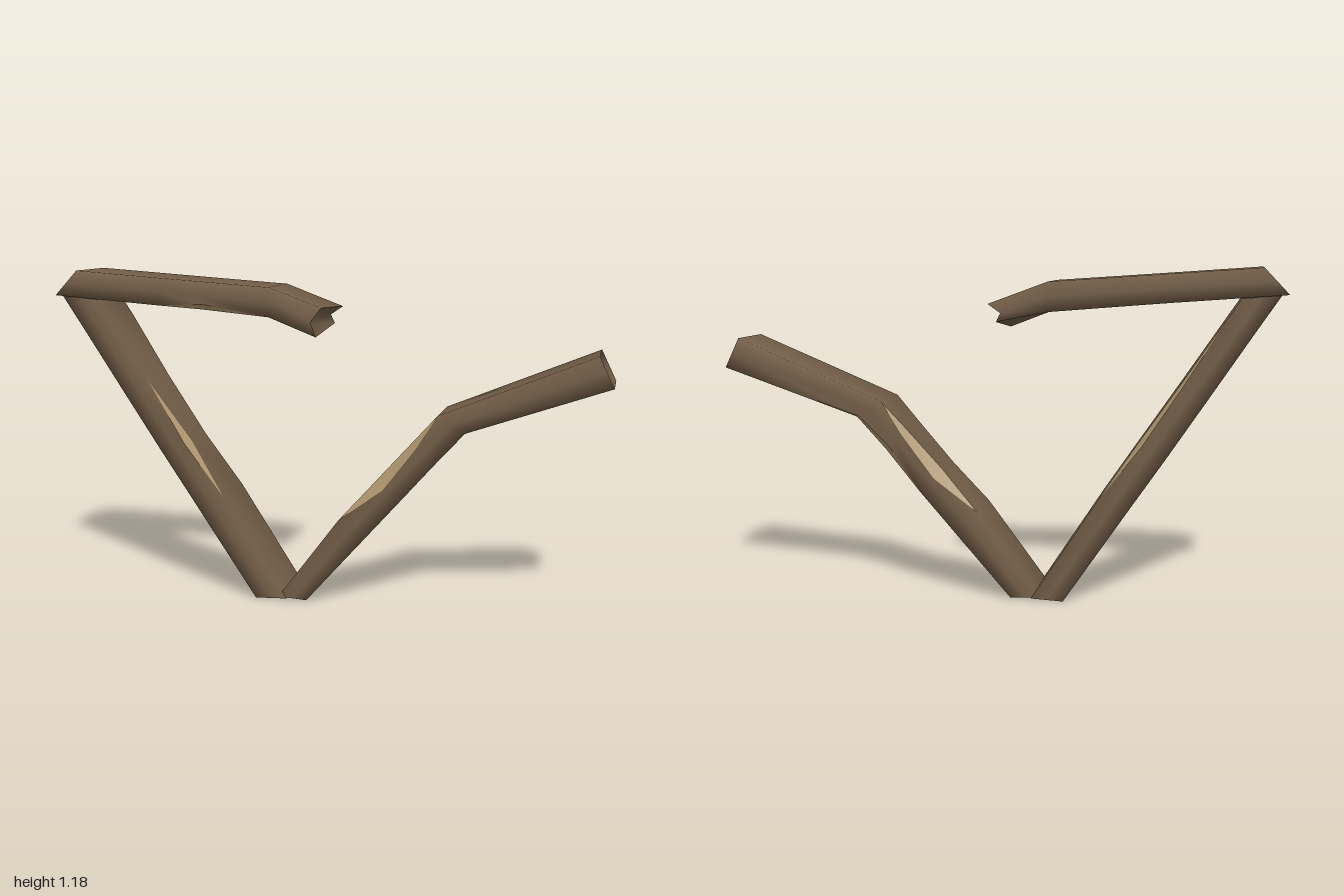
import * as THREE from 'three';
import { mergeVertices } from 'three/addons/utils/BufferGeometryUtils.js';

const bark = new THREE.MeshStandardMaterial({ color: 0x725d47, side: THREE.DoubleSide });
bark.name = 'bark';
const bareWood = new THREE.MeshStandardMaterial({ color: 0xb0976f, side: THREE.DoubleSide });
bareWood.name = 'bareWood';

const lerp = (a, b, t) => a + (b - a) * t;

// Cross-section of a beam: u and l are its upper and lower edges in x,y and z its half width.
// chips = { uf, lf, lb, ub }: corner cuts as [share of the thickness, depth in z].
// uBack and lBack shift the back corners, notch pulls the side middles along x.
function section({ u, l, z, chips = {}, uBack = [0, 0], lBack = [0, 0], notch = 0 }) {
  const ub = [u[0] + uBack[0], u[1] + uBack[1]];
  const lb = [l[0] + lBack[0], l[1] + lBack[1]];
  const at = (a, b, t, zz, dx = 0) => [lerp(a[0], b[0], t) + dx, lerp(a[1], b[1], t), zz];
  const cut = (k) => chips[k] || [0, 0];
  const [uf, lf, lbk, ubk] = ['uf', 'lf', 'lb', 'ub'].map(cut);
  return [
    at(u, l, 0, z - uf[1]), at(u, l, uf[0], z),
    at(u, l, 0.5, z, notch),
    at(l, u, lf[0], z), at(l, u, 0, z - lf[1]),
    at(lb, lb, 0, -z + lbk[1]), at(lb, ub, lbk[0], -z),
    at(ub, lb, 0.5, -z, notch),
    at(ub, lb, ubk[0], -z), at(ub, lb, 0, -z + ubk[1]),
  ];
}

function toMesh(points, material, name) {
  let geometry = new THREE.BufferGeometry();
  geometry.setAttribute('position', new THREE.Float32BufferAttribute(points.flat(), 3));
  geometry = mergeVertices(geometry, 1e-4);
  geometry.computeVertexNormals();
  const mesh = new THREE.Mesh(geometry, material);
  mesh.name = name;
  return mesh;
}

// Hollow beam skinned over its sections; chipped corners become bare wood
function beam(name, stations, capEnd = false) {
  const rings = stations.map(section);
  const n = rings[0].length;
  const cornerOf = { 0: 'uf', 3: 'lf', 5: 'lb', 8: 'ub' };
  const skin = [], chips = [], cap = [];
  const quad = (out, a, b, c, d) => out.push(a, b, c, a, c, d);
  for (let i = 0; i < rings.length - 1; i++) {
    for (let j = 0; j < n; j++) {
      const k = (j + 1) % n, corner = cornerOf[j];
      const chipped = corner && [stations[i], stations[i + 1]].some((s) => s.chips && s.chips[corner]);
      if (corner && !chipped) continue;
      quad(chipped ? chips : skin, rings[i][j], rings[i][k], rings[i + 1][k], rings[i + 1][j]);
    }
  }
  const group = new THREE.Group();
  group.name = name;
  group.add(toMesh(skin, bark, name + 'Bark'));
  if (chips.length) group.add(toMesh(chips, bareWood, name + 'Chips'));
  if (capEnd) {
    // Splintered end: strips from the front side to the back side
    const r = rings[rings.length - 1];
    quad(cap, r[1], r[2], r[7], r[8]);
    quad(cap, r[2], r[3], r[6], r[7]);
    group.add(toMesh(cap, bark, name + 'BrokenEnd'));
  }
  return group;
}

export function createModel() {
  const model = new THREE.Group();
  model.name = 'brokenBeams';

  // Top beam, bent down to a broken tip
  model.add(beam('topBeam', [
    { u: [-0.915, 1.18], l: [-1, 1.09], z: 0.118 },
    { u: [-0.6, 1.158], l: [-0.6, 1.06], z: 0.118 },
    { u: [-0.44, 1.147], l: [-0.44, 1.047], z: 0.118, chips: { lf: [0.2, 0.02] } },
    { u: [-0.19, 1.13], l: [-0.19, 1.026], z: 0.118 },
    { u: [0.0, 1.062], l: [-0.02, 0.96], z: 0.118, uBack: [0.02, -0.01], lBack: [0.01, 0.03], notch: -0.03 },
  ], true));

  // Straight leg running from the foot to the left end of the top beam
  model.add(beam('straightLeg', [
    { u: [-0.135, 0.005], l: [-0.25, 0], z: 0.11 },
    { u: [-0.37, 0.37], l: [-0.485, 0.35], z: 0.11 },
    { u: [-0.5, 0.565], l: [-0.61, 0.535], z: 0.11, chips: { uf: [0.15, 0.035], ub: [0.15, 0.035] } },
    { u: [-0.65, 0.785], l: [-0.75, 0.747], z: 0.11, chips: { ub: [0.1, 0.025] } },
    { u: [-0.8, 1.01], l: [-0.89, 0.96], z: 0.11 },
    { u: [-0.845, 1.077], l: [-0.975, 1.088], z: 0.11 },
  ]));

  // Bent leg with an elbow and an open end
  model.add(beam('bentLeg', [
    { u: [-0.165, 0.01], l: [-0.06, 0.004], z: 0.108 },
    { u: [0.06, 0.31], l: [0.135, 0.225], z: 0.108 },
    { u: [0.19, 0.455], l: [0.27, 0.378], z: 0.108, chips: { uf: [0.36, 0.025], ub: [0.36, 0.025] } },
    { u: [0.32, 0.6], l: [0.4, 0.526], z: 0.108, chips: { uf: [0.22, 0.014], ub: [0.22, 0.014], lb: [0.2, 0.02] } },
    { u: [0.41, 0.7], l: [0.505, 0.642], z: 0.108, chips: { lb: [0.1, 0.015] } },
    { u: [0.945, 0.92], l: [0.997, 0.813], z: 0.108 },
  ]));

  return model;
}
